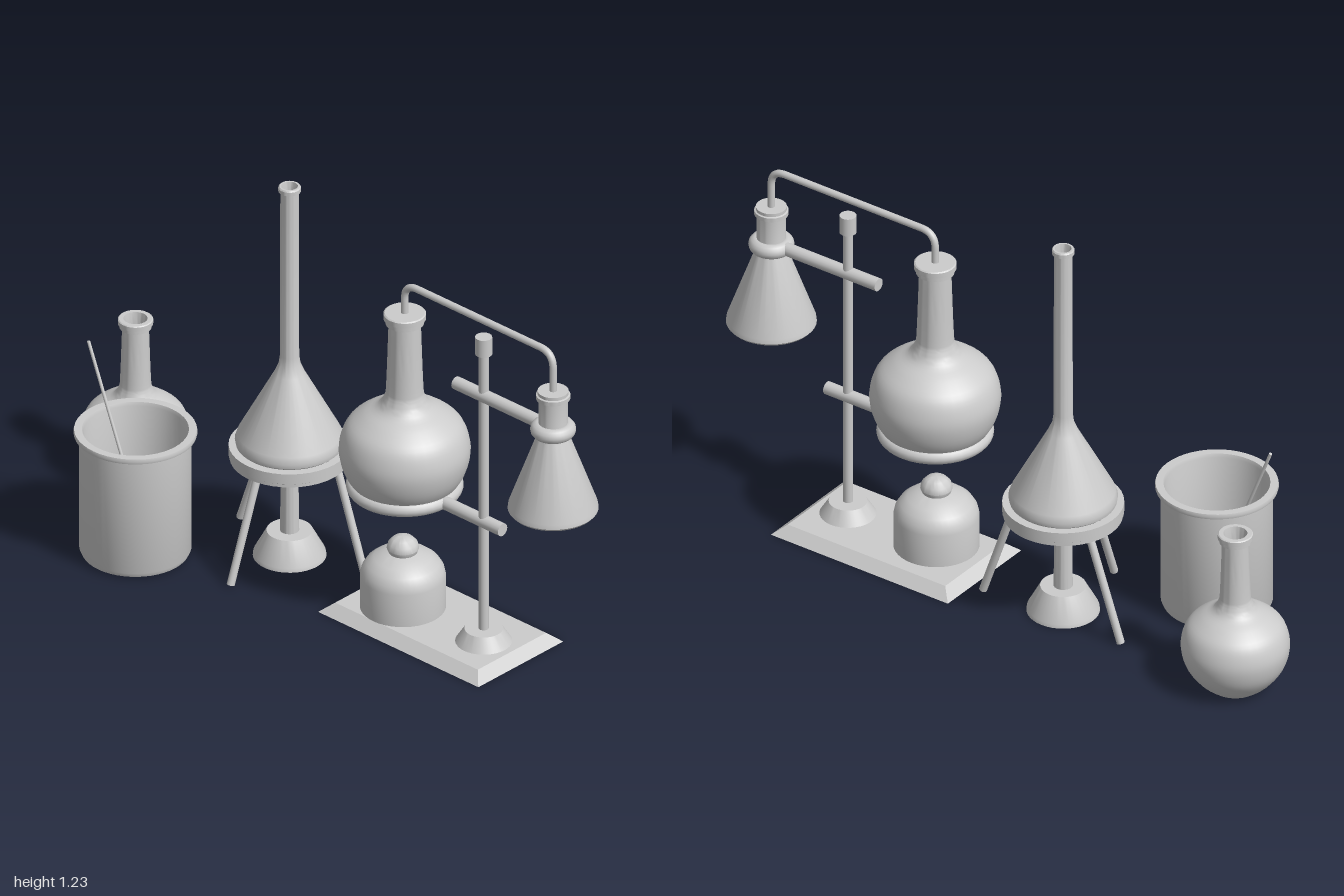
import * as THREE from 'three';
import { toCreasedNormals } from 'three/addons/utils/BufferGeometryUtils.js';

const material = new THREE.MeshStandardMaterial({ color: 0xcccccc, side: THREE.DoubleSide });
const V = (x, y, z) => new THREE.Vector3(x, y, z);

function add(parent, name, geometry, x = 0, y = 0, z = 0) {
  const mesh = new THREE.Mesh(geometry, material);
  mesh.name = name;
  mesh.position.set(x, y, z);
  parent.add(mesh);
  return mesh;
}

// Turned part from [radius, height] pairs, running from the bottom upwards
function turned(points, sides = 40) {
  const profile = points.map(([r, y]) => new THREE.Vector2(r, y));
  return toCreasedNormals(new THREE.LatheGeometry(profile, sides), 0.6);
}

// Round bar between two points
function bar(parent, name, a, b, r) {
  const mesh = add(parent, name, new THREE.CylinderGeometry(r, r, a.distanceTo(b), 16));
  mesh.position.copy(a).lerp(b, 0.5);
  mesh.quaternion.setFromUnitVectors(V(0, 1, 0), b.clone().sub(a).normalize());
  return mesh;
}

function hoop(parent, name, radius, tube, x, y, z) {
  const mesh = add(parent, name, new THREE.TorusGeometry(radius, tube, 14, 40), x, y, z);
  mesh.rotation.x = Math.PI / 2;
  return mesh;
}

// Bulbous flask with a flat foot, long neck and lip
function bulbFlask(parent, name, open) {
  const curve = new THREE.SplineCurve([
    [0.09, 0], [0.132, 0.035], [0.172, 0.09], [0.19, 0.15], [0.188, 0.2], [0.168, 0.25],
    [0.125, 0.287], [0.08, 0.314], [0.06, 0.345], [0.054, 0.385], [0.047, 0.59],
  ].map(([r, y]) => new THREE.Vector2(r, y)));
  const wall = curve.getPoints(40).map((p) => [p.x, p.y]);
  const lip = [[0.056, 0.59], [0.056, 0.603], [0.062, 0.606], [0.062, 0.622], [0.058, 0.625]];
  const mouth = open ? [[0.042, 0.625], [0.036, 0.59], [0.042, 0.36], [0, 0.33]] : [[0, 0.625]];
  return add(parent, name, turned([[0, 0], ...wall, ...lip, ...mouth]));
}

function buildStand() {
  const g = new THREE.Group();
  g.name = 'retortStand';

  // Base plate with sloping edges
  const plate = new THREE.BoxGeometry(0.36, 0.03, 0.635).toNonIndexed();
  const p = plate.attributes.position;
  for (let i = 0; i < p.count; i++) {
    if (p.getY(i) > 0) {
      p.setX(i, p.getX(i) - Math.sign(p.getX(i)) * 0.035);
      p.setZ(i, p.getZ(i) - Math.sign(p.getZ(i)) * 0.035);
    }
  }
  plate.computeVertexNormals();
  add(g, 'basePlate', plate, 0.13, 0.015, 0.41);

  // Upright pole
  add(g, 'poleFoot', turned([[0.084, 0.028], [0.056, 0.072], [0, 0.072]]), 0.12, 0, 0.59);
  bar(g, 'pole', V(0.12, 0.03, 0.59), V(0.12, 1, 0.59), 0.015);
  add(g, 'poleCap', new THREE.CylinderGeometry(0.025, 0.025, 0.057, 20), 0.12, 1.019, 0.59);

  // Two clamps
  bar(g, 'upperClampArm', V(0.12, 0.85, 0.48), V(0.12, 0.85, 0.82), 0.02);
  hoop(g, 'upperClampRing', 0.044, 0.023, 0.12, 0.849, 0.865);
  bar(g, 'lowerClampArm', V(0.12, 0.43, 0.665), V(0.12, 0.43, 0.43), 0.02);
  hoop(g, 'lowerClampRing', 0.15, 0.021, 0.12, 0.43, 0.277);
  return g;
}

function buildDistillation() {
  const g = new THREE.Group();
  g.name = 'distillation';
  bulbFlask(g, 'boilingFlask', false).position.set(0.12, 0.38, 0.277);

  // Hanging conical flask
  add(g, 'receivingFlask', turned([
    [0, 0.578], [0.125, 0.578], [0.132, 0.586], [0.13, 0.6], [0.05, 0.82], [0.043, 0.84],
    [0.043, 0.95], [0.05, 0.952], [0.05, 0.965], [0.045, 0.967], [0.045, 0.977], [0, 0.977],
  ]), 0.12, 0, 0.865);

  // Bent connecting tube with rounded corners
  const path = new THREE.CurvePath();
  const [a, b, top, r] = [0.277, 0.865, 1.102, 0.05];
  path.add(new THREE.LineCurve3(V(0.12, 0.99, a), V(0.12, top - r, a)));
  path.add(new THREE.QuadraticBezierCurve3(V(0.12, top - r, a), V(0.12, top, a), V(0.12, top, a + r)));
  path.add(new THREE.LineCurve3(V(0.12, top, a + r), V(0.12, top, b - r)));
  path.add(new THREE.QuadraticBezierCurve3(V(0.12, top, b - r), V(0.12, top, b), V(0.12, top - r, b)));
  path.add(new THREE.LineCurve3(V(0.12, top - r, b), V(0.12, 0.96, b)));
  add(g, 'connectingTube', new THREE.TubeGeometry(path, 90, 0.011, 14));

  // Domed spirit lamp with a round knob
  add(g, 'spiritLamp', turned([
    [0.125, 0.03], [0.125, 0.135], [0.12, 0.157], [0.107, 0.178], [0.085, 0.196], [0.056, 0.208],
    [0.042, 0.212], [0.047, 0.225], [0.043, 0.242], [0.03, 0.256], [0.014, 0.262], [0, 0.263],
  ]), 0.107, 0, 0.282);
  return g;
}

function buildTripod() {
  const g = new THREE.Group();
  g.name = 'tripodSet';
  g.position.set(0.136, 0, -0.194);

  // Stepped ring on three splayed legs
  add(g, 'tripodRing', turned([
    [0.115, 0.325], [0.174, 0.325], [0.174, 0.335], [0.177, 0.337], [0.177, 0.37],
    [0.115, 0.37], [0.115, 0.325],
  ]));
  const legs = [[-0.13, 0, -0.25, 0], [0.055, 0.132, 0.055, 0.247], [0.055, -0.132, 0.055, -0.247]];
  for (const [tx, tz, fx, fz] of legs) {
    bar(g, 'tripodLeg', V(tx, 0.335, tz), V(fx, 0.004, fz), 0.012);
  }

  // Tall-necked conical flask
  add(g, 'tallFlask', turned([
    [0, 0.365], [0.145, 0.365], [0.156, 0.375], [0.159, 0.39], [0.152, 0.41], [0.045, 0.61],
    [0.032, 0.64], [0.028, 0.67], [0.027, 1.215], [0.033, 1.218], [0.033, 1.23], [0.03, 1.234],
    [0.024, 1.234], [0.02, 1.21], [0.02, 1.15], [0, 1.15],
  ]));

  // Burner
  add(g, 'burner', turned([
    [0, 0], [0.107, 0], [0.105, 0.012], [0.067, 0.083], [0.028, 0.083], [0.026, 0.25],
    [0.034, 0.25], [0.034, 0.292], [0.018, 0.292], [0.018, 0.33], [0.012, 0.33], [0.012, 0.28], [0, 0.28],
  ]));
  return g;
}

function buildBeaker() {
  const g = new THREE.Group();
  g.name = 'beakerSet';
  g.position.set(-0.157, 0, -0.531);
  add(g, 'beaker', turned([
    [0, 0], [0.145, 0], [0.157, 0.006], [0.163, 0.02], [0.163, 0.393], [0.178, 0.395], [0.18, 0.403],
    [0.178, 0.411], [0.155, 0.411], [0.151, 0.4], [0.151, 0.03], [0.14, 0.018], [0, 0.018],
  ], 48));

  // Stirring rod with a ball tip
  const tip = V(0.033, 0.05, 0.003);
  bar(g, 'stirringRod', tip, V(0.033, 0.605, -0.217), 0.005);
  add(g, 'stirringBall', new THREE.SphereGeometry(0.031, 20, 14), tip.x, tip.y, tip.z);
  return g;
}

export function createModel() {
  const model = new THREE.Group();
  model.name = 'laboratoryGlassware';
  model.add(buildStand(), buildDistillation(), buildTripod(), buildBeaker());

  // Smaller open flask standing alone
  const flask = bulbFlask(model, 'roundFlask', true);
  flask.position.set(0.173, 0, -0.839);
  flask.scale.setScalar(0.83);
  return model;
}
